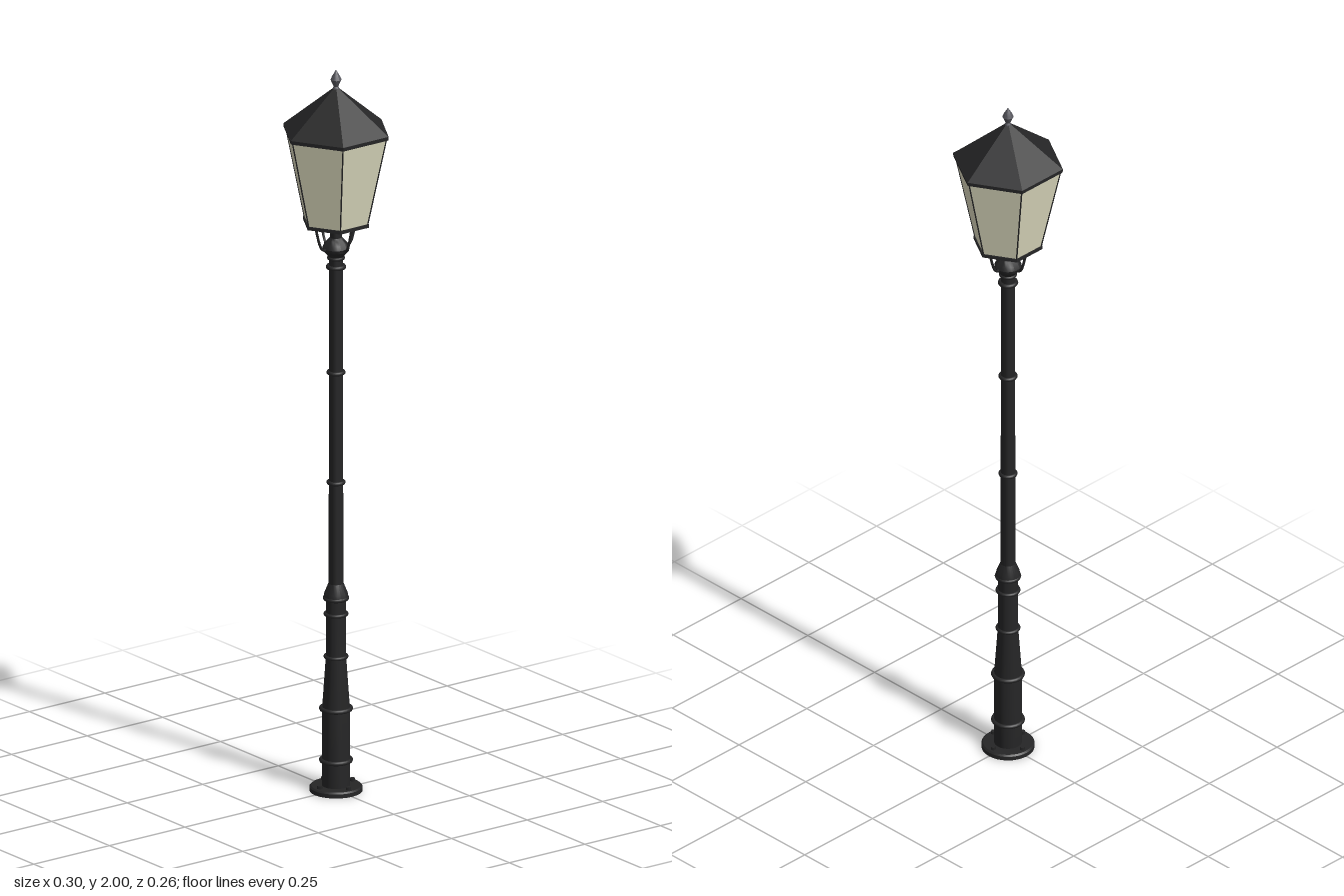
import * as THREE from 'three';
import { toCreasedNormals } from 'three/addons/utils/BufferGeometryUtils.js';

const mat = (name, color, extra = {}) => {
  const m = new THREE.MeshStandardMaterial({ color, ...extra });
  m.name = name;
  return m;
};

export function createModel() {
  const model = new THREE.Group();
  model.name = 'streetLamp';
  const iron = mat('black iron', 0x252526);
  const roofIron = mat('roof iron', 0x262627, { flatShading: true });
  const steel = mat('grey steel', 0x55555c);
  const glass = mat('cream glass', 0xdedcc0, { flatShading: true, side: THREE.DoubleSide });

  const add = (name, geometry, material, parent = model) => {
    const mesh = new THREE.Mesh(geometry, material);
    mesh.name = name;
    parent.add(mesh);
    return mesh;
  };
  const lathe = (points, segments = 24) => toCreasedNormals(
    new THREE.LatheGeometry(points.map(([r, y]) => new THREE.Vector2(r, y)), segments), 0.6);
  // Six-sided frustum with corners on the x axis
  const hex = (name, rTop, rBottom, y0, y1, material, open = false) => {
    const g = new THREE.CylinderGeometry(rTop, rBottom, y1 - y0, 6, 1, open, Math.PI / 6);
    g.translate(0, (y0 + y1) / 2, 0);
    return add(name, g, material);
  };
  // Round bar between two points
  const bar = (name, a, b, r) => add(name,
    new THREE.TubeGeometry(new THREE.LineCurve3(a, b), 1, r, 6), iron);

  // Base flange with bolts
  add('baseFlange', lathe([[0, 0], [0.07, 0], [0.07, 0.011], [0.066, 0.015], [0, 0.015]], 32), iron);
  for (let i = 0; i < 4; i++) {
    const a = i * Math.PI / 2;
    add('baseBolt', new THREE.CylinderGeometry(0.007, 0.007, 0.009, 6), iron)
      .position.set(0.054 * Math.cos(a), 0.0185, 0.054 * Math.sin(a));
  }

  // Pedestal, shaft and head
  add('pedestal', lathe([[0.037, 0.01], [0.037, 0.225], [0.027, 0.37], [0.026, 0.53],
    [0.033, 0.535], [0.031, 0.548], [0.02, 0.575]]), iron);
  add('shaft', lathe([[0.0195, 0.56], [0.0185, 1.495]]), iron);
  add('shaftHead', lathe([[0.018, 1.478], [0.026, 1.49], [0.034, 1.498], [0.036, 1.507],
    [0.031, 1.518], [0.022, 1.528], [0.016, 1.535], [0.016, 1.58]]), iron);

  // Collar rings: radius at the ring, height, tube thickness
  const rings = [[0.039, 0.085, 0.006], [0.039, 0.228, 0.006], [0.028, 0.372, 0.005],
    [0.028, 0.49, 0.005], [0.029, 0.534, 0.006], [0.02, 0.855, 0.0055],
    [0.02, 1.16, 0.0055], [0.021, 1.453, 0.006], [0.019, 1.478, 0.005]];
  for (const [r, y, t] of rings) {
    const g = new THREE.TorusGeometry(r, t, 8, 24).rotateX(Math.PI / 2);
    add('collarRing', g, iron).position.y = y;
  }

  // Bent brackets under the lantern
  for (let i = 0; i < 4; i++) {
    const a = i * Math.PI / 2;
    const at = (r, y) => new THREE.Vector3(r * Math.cos(a), y, r * Math.sin(a));
    const path = new THREE.CatmullRomCurve3(
      [at(0.02, 1.506), at(0.042, 1.506), at(0.051, 1.517), at(0.069, 1.578)], false, 'centripetal');
    add('lanternBracket', new THREE.TubeGeometry(path, 14, 0.0035, 6), iron);
  }

  // Lantern
  hex('lanternFloor', 0.094, 0.094, 1.573, 1.582, roofIron);
  hex('lanternGlass', 0.144, 0.09, 1.582, 1.825, glass, true);
  for (let i = 0; i < 6; i++) {
    const a = i * Math.PI / 3, c = Math.cos(a), s = Math.sin(a);
    bar('glazingBar', new THREE.Vector3(0.09 * c, 1.58, 0.09 * s),
      new THREE.Vector3(0.144 * c, 1.826, 0.144 * s), 0.002);
  }

  // Roof and finial
  hex('roofEave', 0.15, 0.149, 1.822, 1.832, roofIron);
  hex('roof', 0.008, 0.149, 1.832, 1.948, roofIron);
  add('finial', lathe([[0.009, 1.94], [0.009, 1.948], [0.006, 1.953], [0.0145, 1.972],
    [0.012, 1.979], [0.005, 1.991], [0, 2]], 12), steel);

  return model;
}
